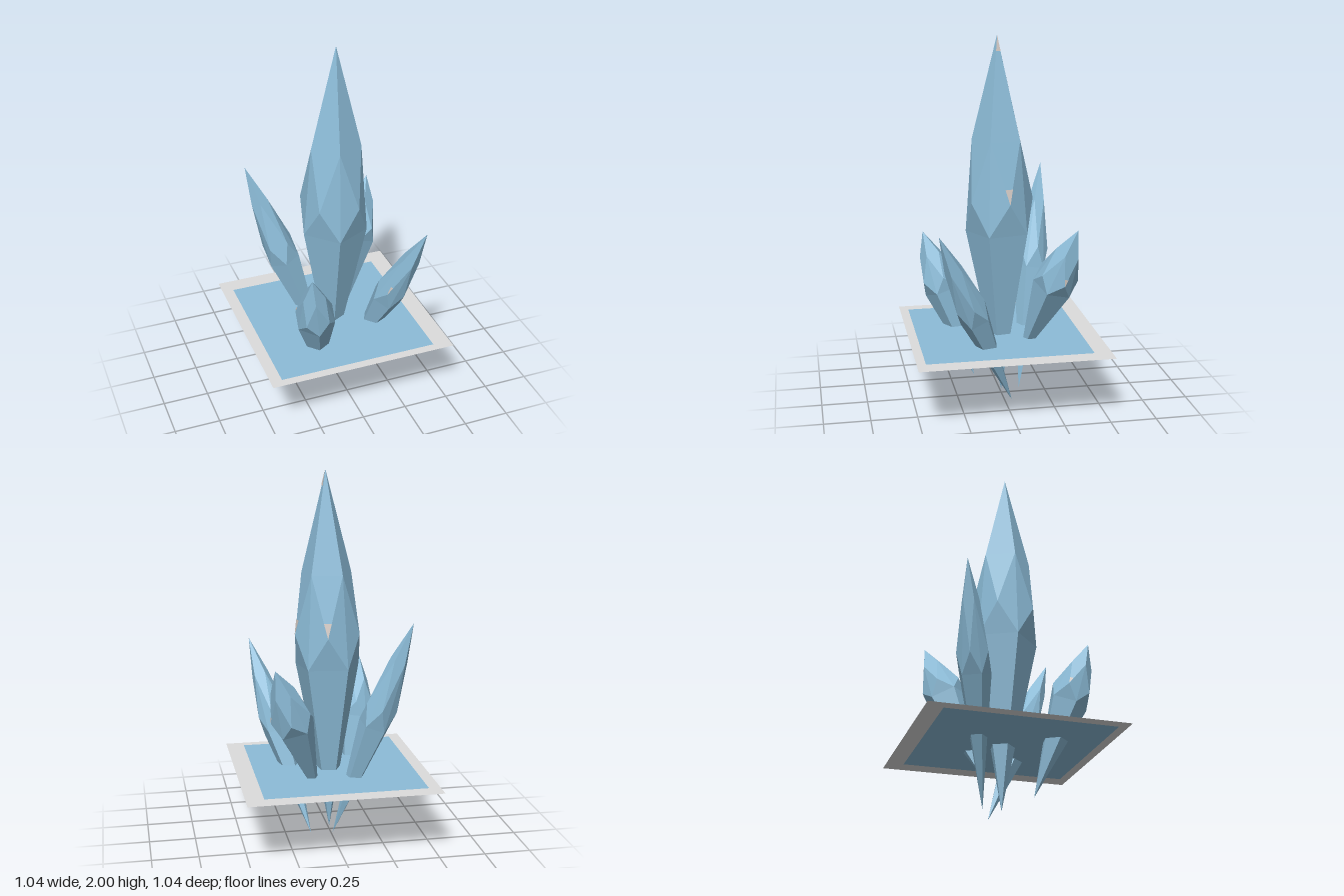
import * as THREE from 'three';

const iceBlue = new THREE.MeshStandardMaterial({ color: 0x8cbcd8 });
const warmGrey = new THREE.MeshStandardMaterial({ color: 0xd2c8c2 });
const sheetBlue = new THREE.MeshStandardMaterial({ color: 0x8cbcd8, side: THREE.DoubleSide });
const borderGrey = new THREE.MeshStandardMaterial({ color: 0xdcdcdc, side: THREE.DoubleSide });

const GROUND = 0.365;

// Mesh from loose triangles, each turned to face away from the local y axis
function facets(name, triangles, material) {
  const positions = [];
  for (const [a, b, c] of triangles) {
    const normal = b.clone().sub(a).cross(c.clone().sub(a));
    const middle = a.clone().add(b).add(c).setY(0);
    const order = normal.dot(middle) < 0 ? [a, c, b] : [a, b, c];
    order.forEach((p) => positions.push(p.x, p.y, p.z));
  }
  const geometry = new THREE.BufferGeometry();
  geometry.setAttribute('position', new THREE.Float32BufferAttribute(positions, 3));
  geometry.computeVertexNormals();
  const mesh = new THREE.Mesh(geometry, material);
  mesh.name = name;
  return mesh;
}

// Five-sided crystal from a buried point to a tip; rings are fractions of its length
function crystal({ name, base, tip, radius, rings, phase = 0, patches = [], tipPatches = [] }) {
  const start = new THREE.Vector3(...base);
  const axis = new THREE.Vector3(...tip).sub(start);
  const length = axis.length();
  const [low, mid, high] = rings;

  const ring = (t, r, degrees) => Array.from({ length: 5 }, (_, i) => {
    const angle = THREE.MathUtils.degToRad(degrees + phase + i * 72);
    return new THREE.Vector3(r * Math.cos(angle), t * length, r * Math.sin(angle));
  });
  // The upper radius keeps the long tip faces flat
  const upperRadius = radius * (1 - high) / (1 - mid) / Math.cos(Math.PI / 5);
  const L = ring(low, radius, 27);
  const M = ring(mid, radius, 63);
  const U = ring(high, upperRadius, 27);
  const bottom = new THREE.Vector3();
  const top = new THREE.Vector3(0, length, 0);

  const triangles = [];
  for (let i = 0; i < 5; i++) {
    const n = (i + 1) % 5;
    triangles.push([top, U[i], U[n]], [U[i], M[i], U[n]]); // tip face
    triangles.push([U[n], M[i], L[n]], [U[n], L[n], M[n]]); // belt face
    triangles.push([L[i], M[i], L[n]], [L[i], L[n], bottom]); // root face
  }

  const group = new THREE.Group();
  group.name = name;
  group.add(facets('crystalBody', triangles, iceBlue));

  // Pale chips on the corners of some tip faces
  const chips = [];
  const chip = (corner, i, f) => {
    const points = [corner, corner.clone().lerp(U[i], f), corner.clone().lerp(U[(i + 1) % 5], f)];
    const out = M[i].clone().setY(0).setLength(0.003);
    chips.push(points.map((p) => p.clone().add(out)));
  };
  patches.forEach((i) => chip(M[i], i, 0.25));
  tipPatches.forEach((i) => chip(top, i, 0.15));
  if (chips.length) group.add(facets('paleChips', chips, warmGrey));

  group.position.copy(start);
  group.quaternion.setFromUnitVectors(new THREE.Vector3(0, 1, 0), axis.normalize());
  return group;
}

function rectangle(Type, x0, x1, z0, z1) {
  // Shape y becomes -z once laid flat
  return new Type([[x0, -z1], [x1, -z1], [x1, -z0], [x0, -z0]].map(([x, y]) => new THREE.Vector2(x, y)));
}

function sheet(name, shape, material) {
  const mesh = new THREE.Mesh(new THREE.ShapeGeometry(shape), material);
  mesh.name = name;
  mesh.rotation.x = -Math.PI / 2;
  mesh.position.y = GROUND;
  return mesh;
}

export function createModel() {
  const model = new THREE.Group();
  model.name = 'crystalCluster';

  // Thin ground sheet with a grey border
  const inner = [-0.455, 0.42, -0.425, 0.47];
  const border = rectangle(THREE.Shape, -0.518, 0.518, -0.518, 0.518);
  border.holes.push(rectangle(THREE.Path, ...inner));
  model.add(sheet('groundBorder', border, borderGrey));
  model.add(sheet('groundSheet', rectangle(THREE.Shape, ...inner), sheetBlue));

  // Tall centre crystal and four leaning ones
  [
    { name: 'centreCrystal', base: [0, 0.02, 0], tip: [0.015, 2, 0.025], radius: 0.182,
      rings: [0.47, 0.56, 0.725], patches: [3, 4], tipPatches: [4] },
    { name: 'frontRightCrystal', base: [-0.12, 0.07, 0.135], tip: [-0.255, 0.89, 0.4], radius: 0.105,
      rings: [0.6, 0.69, 0.85], patches: [2] },
    { name: 'backRightCrystal', base: [0, 0.02, -0.1], tip: [-0.39, 1.23, -0.3], radius: 0.088,
      rings: [0.53, 0.62, 0.83] },
    { name: 'backLeftCrystal', base: [0.075, 0.23, -0.09], tip: [0.345, 1.02, -0.345], radius: 0.112,
      rings: [0.58, 0.67, 0.84], patches: [4] },
    { name: 'frontLeftCrystal', base: [0.11, 0, -0.04], tip: [0.39, 1.03, 0.39], radius: 0.085,
      rings: [0.52, 0.61, 0.81], patches: [1] },
  ].forEach((spec) => model.add(crystal(spec)));

  return model;
}
